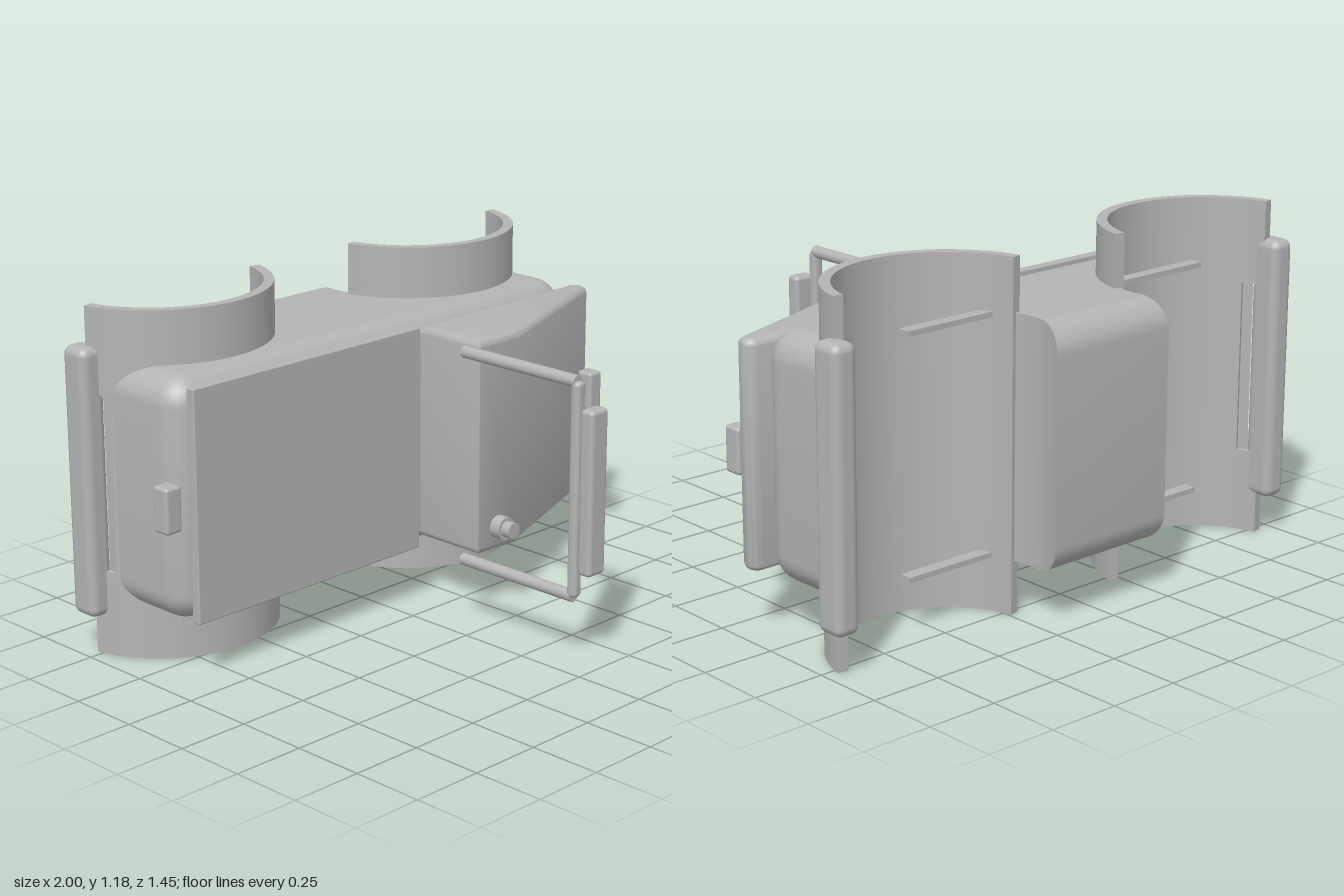
import * as THREE from 'three';
import { toCreasedNormals } from 'three/addons/utils/BufferGeometryUtils.js';
import { RoundedBoxGeometry } from 'three/addons/geometries/RoundedBoxGeometry.js';

const TUBE_X = 0.58, TUBE_Z = -0.6; // axis of the two side channels
const DEG = Math.PI / 180;

// Horizontal outline of the body, inset by d: rounded front, scooped sides, narrow back column
function bodyOutline(d) {
  const half = [], rho = Math.max(0.1 - d, 0.002), R = 0.36;
  for (let i = 0; i <= 8; i++) {
    const a = (1 - i / 8) * Math.PI / 2;
    half.push([0.82 + rho * Math.cos(a), -0.22 + rho * Math.sin(a)]);
  }
  const a0 = Math.acos((0.34 - d) / R), a1 = Math.PI + Math.asin((0.13 - d) / R);
  for (let i = 0; i <= 36; i++) {
    const a = a0 + (a1 - a0) * i / 36;
    half.push([TUBE_X + R * Math.cos(a), TUBE_Z + R * Math.sin(a)]);
  }
  return [...half, ...half.slice().reverse().map(([x, z]) => [-x, z])];
}

// Loft the outline upward, shrinking it near the top and bottom for rounded edges
function bodyGeometry() {
  const R = 0.1, steps = 8, levels = [];
  for (let i = -steps; i <= steps; i++) {
    const t = i / steps * Math.PI / 2;
    const y = (i < 0 ? 0.28 : 0.9) + R * Math.sin(t);
    levels.push([y, R * (1 - Math.cos(t))]);
    if (i === 0) levels.splice(levels.length - 1, 0, [0.28, 0]);
  }
  const pos = [], idx = [];
  let n = 0, last;
  for (const [y, d] of levels) {
    last = bodyOutline(d);
    n = last.length;
    for (const [x, z] of last) pos.push(x, y, z);
  }
  for (let j = 0; j < levels.length - 1; j++)
    for (let i = 0; i < n; i++) {
      const a = j * n + i, b = j * n + (i + 1) % n;
      idx.push(a, b, b + n, a, b + n, a + n);
    }
  const top = (levels.length - 1) * n;
  const flat = last.map(([x, z]) => new THREE.Vector2(x, -z));
  for (const [a, b, c] of THREE.ShapeUtils.triangulateShape(flat, [])) {
    idx.push(top + a, top + b, top + c, a, c, b);
  }
  const g = new THREE.BufferGeometry();
  g.setAttribute('position', new THREE.Float32BufferAttribute(pos, 3));
  g.setIndex(idx);
  return toCreasedNormals(g, 0.5);
}

// Curved channel wall between heights y0 and y1; outerEnd is its stop angle on the outer side
function shellGeometry(side, y0, y1, outerEnd) {
  const innerEnd = 12 * DEG;
  const start = -Math.PI + (side > 0 ? innerEnd : outerEnd);
  const end = -(side > 0 ? outerEnd : innerEnd);
  const s = new THREE.Shape();
  s.absarc(side * TUBE_X, -TUBE_Z, 0.38, start, end, false);
  s.absarc(side * TUBE_X, -TUBE_Z, 0.345, end, start, true);
  const g = new THREE.ExtrudeGeometry(s, { depth: y1 - y0, bevelEnabled: false, curveSegments: 48 });
  g.rotateX(-Math.PI / 2).translate(0, y0, 0);
  return toCreasedNormals(g, 0.5);
}

// Wedge-shaped front case with softened edges
function caseGeometry() {
  const b = 0.025;
  const s = new THREE.Shape();
  s.moveTo(0.16 + b, 0.13 - b);
  s.lineTo(0.16 + b, -0.155 + b);
  s.lineTo(0.35 - 0.005, -0.155 + b);
  s.lineTo(0.945, 0.095);
  s.quadraticCurveTo(0.955, 0.11, 0.935, 0.145 - b);
  s.closePath();
  const g = new THREE.ExtrudeGeometry(s, {
    depth: 0.755 - 2 * b, bevelSize: b, bevelThickness: b, bevelSegments: 5, curveSegments: 8,
  });
  g.rotateX(-Math.PI / 2).translate(0, 0.215 + b, 0);
  return toCreasedNormals(g, 0.6);
}

export function createModel() {
  const group = new THREE.Group();
  const grey = new THREE.MeshStandardMaterial({ color: 0xb4b4b4 });
  grey.name = 'plain grey';

  const add = (name, geometry, x = 0, y = 0, z = 0) => {
    const m = new THREE.Mesh(geometry, grey);
    m.name = name;
    m.position.set(x, y, z);
    group.add(m);
    return m;
  };
  const block = (name, x0, x1, y0, y1, z0, z1, r) => add(name,
    new RoundedBoxGeometry(x1 - x0, y1 - y0, z1 - z0, 4, r),
    (x0 + x1) / 2, (y0 + y1) / 2, (z0 + z1) / 2);
  const rod = (name, r, length, x, y, z) => {
    const m = add(name, new THREE.CylinderGeometry(r, r, length, 24), x, y, z);
    m.rotation.x = Math.PI / 2;
    return m;
  };

  add('body', bodyGeometry());

  // Side channels, cut back on their outer side at mid height, and edge strips
  for (const side of [-1, 1]) {
    const label = side > 0 ? 'left' : 'right';
    add(label + 'ChannelBottom', shellGeometry(side, 0, 0.29, 12 * DEG));
    add(label + 'ChannelMiddle', shellGeometry(side, 0.29, 0.89, 25 * DEG));
    add(label + 'ChannelTop', shellGeometry(side, 0.89, 1.18, 12 * DEG));
    const x = side * 0.955;
    block(label + 'EdgeStrip', x - 0.045, x + 0.045, 0.135, 1.05, -0.588, -0.477, 0.03);
  }

  // Thin cross straps near the top and bottom of the body
  for (const y of [0.192, 0.988])
    add('crossStrap', new THREE.BoxGeometry(1.29, 0.018, 0.045), -0.035, y, -0.437);

  // Front door panel and wedge case
  block('doorPanel', -0.89, 0.11, 0.2, 0.985, -0.11, -0.075, 0.006);
  add('frontCase', caseGeometry());
  rod('knobBase', 0.04, 0.05, 0.255, 0.3, 0.17);
  rod('knobCap', 0.028, 0.04, 0.255, 0.3, 0.21);

  // Latches
  block('leftLatch', 0.905, 0.967, 0.515, 0.67, -0.065, 0.003, 0.012);
  block('rightLatch', -0.98, -0.915, 0.515, 0.67, -0.18, -0.112, 0.012);

  // Handle frame: two arms, upright and grip
  for (const y of [0.23, 0.955]) rod('handleArm', 0.021, 0.49, 0.08, y, 0.405);
  block('handleUpright', 0.06, 0.1, 0.228, 0.957, 0.632, 0.67, 0.015);
  block('handleGrip', 0.07, 0.152, 0.31, 0.87, 0.668, 0.722, 0.015);

  return group;
}
